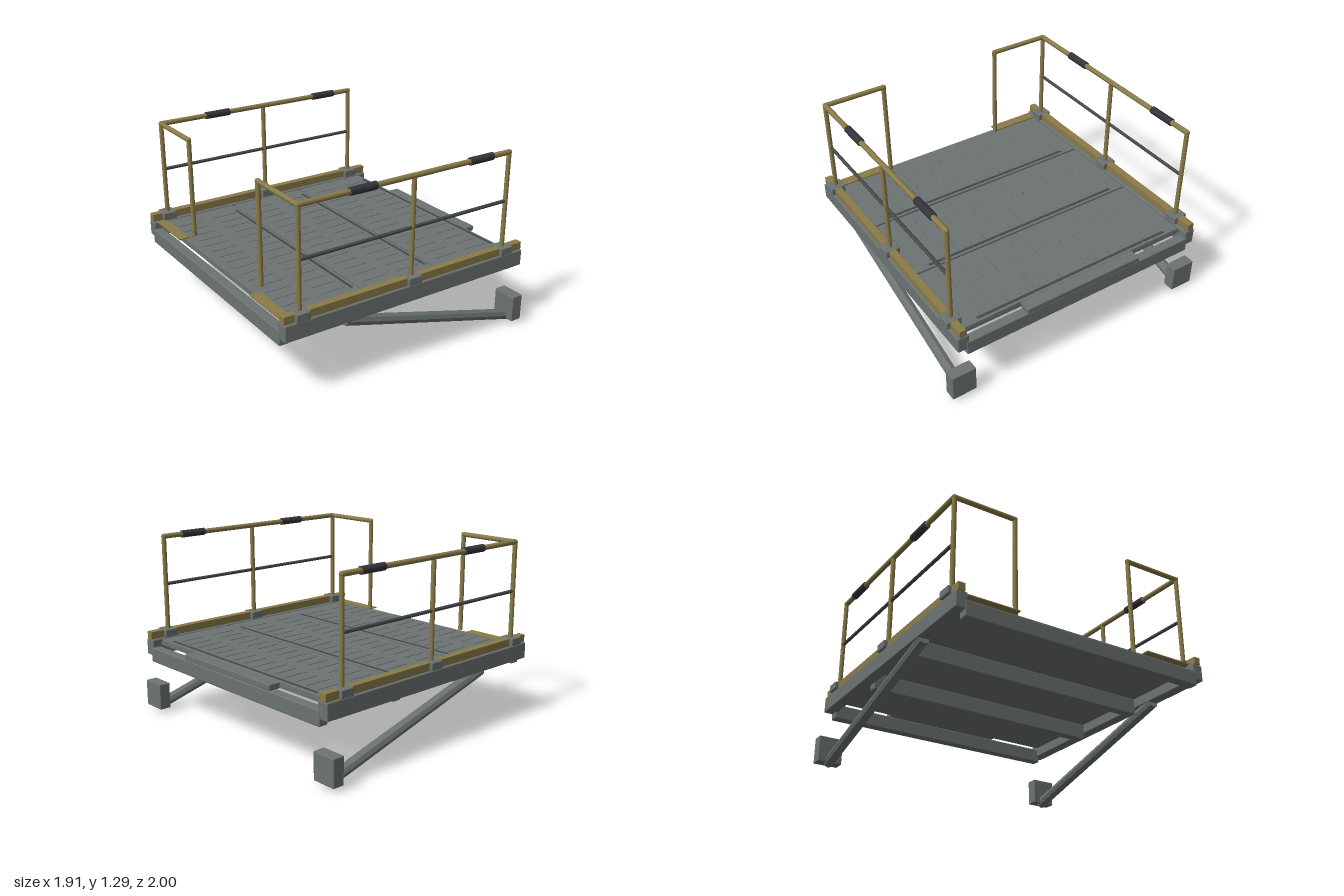
import * as THREE from 'three';
import { RoundedBoxGeometry } from 'three/addons/geometries/RoundedBoxGeometry.js';

const mat = (name, color, opts = {}) => {
  const m = new THREE.MeshStandardMaterial({ color, ...opts });
  m.name = name;
  return m;
};

export function createModel() {
  const steel = mat('greySteel', 0x6c7372);
  const facet = mat('greySteelFaceted', 0x6c7372, { flatShading: true });
  const yellow = mat('dullYellow', 0x8a7b48);
  const dark = mat('darkGrey', 0x45494b);
  const rubber = mat('blackGrip', 0x34343c);
  const model = new THREE.Group();
  model.name = 'liftPlatform';

  // Box given by its lower and upper limits, with optional rounded edges
  const box = (name, m, [x0, x1], [y0, y1], [z0, z1], r = 0) => {
    const s = [x1 - x0, y1 - y0, z1 - z0];
    const g = r ? new RoundedBoxGeometry(...s, 2, r) : new THREE.BoxGeometry(...s);
    const mesh = new THREE.Mesh(g, m);
    mesh.name = name;
    mesh.position.set((x0 + x1) / 2, (y0 + y1) / 2, (z0 + z1) / 2);
    model.add(mesh);
  };

  // Round bar between two points
  const bar = (name, m, a, b, r, sides = 12) => {
    const p = new THREE.Vector3(...a), q = new THREE.Vector3(...b);
    const mesh = new THREE.Mesh(new THREE.CylinderGeometry(r, r, p.distanceTo(q), sides), m);
    mesh.name = name;
    mesh.position.copy(p).add(q).multiplyScalar(0.5);
    mesh.quaternion.setFromUnitVectors(new THREE.Vector3(0, 1, 0), q.sub(p).normalize());
    model.add(mesh);
  };

  const elbow = (x, y, z) => {
    const mesh = new THREE.Mesh(new THREE.SphereGeometry(0.018, 12, 8), yellow);
    mesh.name = 'railElbow';
    mesh.position.set(x, y, z);
    model.add(mesh);
  };

  // Mirrored z interval
  const span = (s, a, b) => (s > 0 ? [a, b] : [-b, -a]);

  // Deck sheet, three tread panels, ridges and dark joint strips
  box('deckSheet', steel, [-0.885, 0.87], [0.5, 0.526], [-0.88, 0.88]);
  for (const x of [-0.885, -0.295, 0.295]) {
    box('deckPanel', steel, [x, x + 0.573], [0.52, 0.54], [-0.865, 0.865], 0.004);
    box('jointStrip', dark, [x + 0.535, x + 0.553], [0.538, 0.543], [-0.755, 0.755]);
    for (let i = -7; i <= 7; i++) {
      const z = i * 0.103;
      for (const dx of [0.052, 0.325])
        box('treadRidge', steel, [x + dx, x + dx + 0.187], [0.536, 0.545], [z - 0.008, z + 0.008], 0.004);
    }
  }
  box('loadingLip', steel, [0.86, 0.953], [0.497, 0.537], [-0.45, 0.45], 0.006);

  // Cross beams under the deck
  box('endBeamRight', steel, [-0.957, -0.888], [0.385, 0.49], [-0.89, 0.89], 0.008);
  box('endBeamLeft', steel, [0.875, 0.943], [0.385, 0.49], [-0.89, 0.89], 0.008);
  for (const x of [-0.345, 0.25])
    box('crossBeam', steel, [x, x + 0.067], [0.385, 0.502], [-0.88, 0.88], 0.008);

  for (const s of [1, -1]) {
    const z = 0.91 * s, top = 1.265, zr = 0.465 * s;

    // Side beam, toe board and threshold plate
    box('sideBeam', steel, [-0.953, 0.938], [0.43, 0.545], span(s, 0.872, 0.953), 0.009);
    box('toeBoard', yellow, [-0.953, 0.938], [0.545, 0.6], span(s, 0.89, 0.94), 0.004);
    box('thresholdPlate', yellow, [-0.93, -0.855], [0.54, 0.548], span(s, 0.495, 0.86));

    // Guard rail with posts in clamps
    for (const x of [-0.828, 0.004, 0.785]) {
      box('postClamp', steel, [x - 0.05, x + 0.05], [0.548, 0.602], span(s, 0.86, 0.965), 0.006);
      bar('railPost', yellow, [x, 0.55, z], [x, top, z], 0.016);
    }
    bar('topRail', yellow, [-0.828, top, z], [0.785, top, z], 0.018);
    bar('midRail', dark, [-0.828, 0.925, z], [0.785, 0.925, z], 0.012);
    for (const x of [-0.475, 0.445])
      bar('railGrip', rubber, [x, top, z], [x + 0.192, top, z], 0.026);

    // Return rail across the entry end
    bar('returnRail', yellow, [-0.828, top, z], [-0.828, top, zr], 0.017);
    bar('returnPost', yellow, [-0.828, 0.565, zr], [-0.828, top, zr], 0.016);
    elbow(-0.828, top, z);
    elbow(-0.828, top, zr);
    elbow(0.785, top, z);

    // Diagonal brace and its wall block
    bar('brace', facet, [-0.5, 0.43, z], [0.888, 0.042, z], 0.038, 8);
    box('braceBlock', steel, [0.848, 0.932], [0.033, 0.22], span(s, 0.825, 1), 0.006);
  }
  return model;
}
